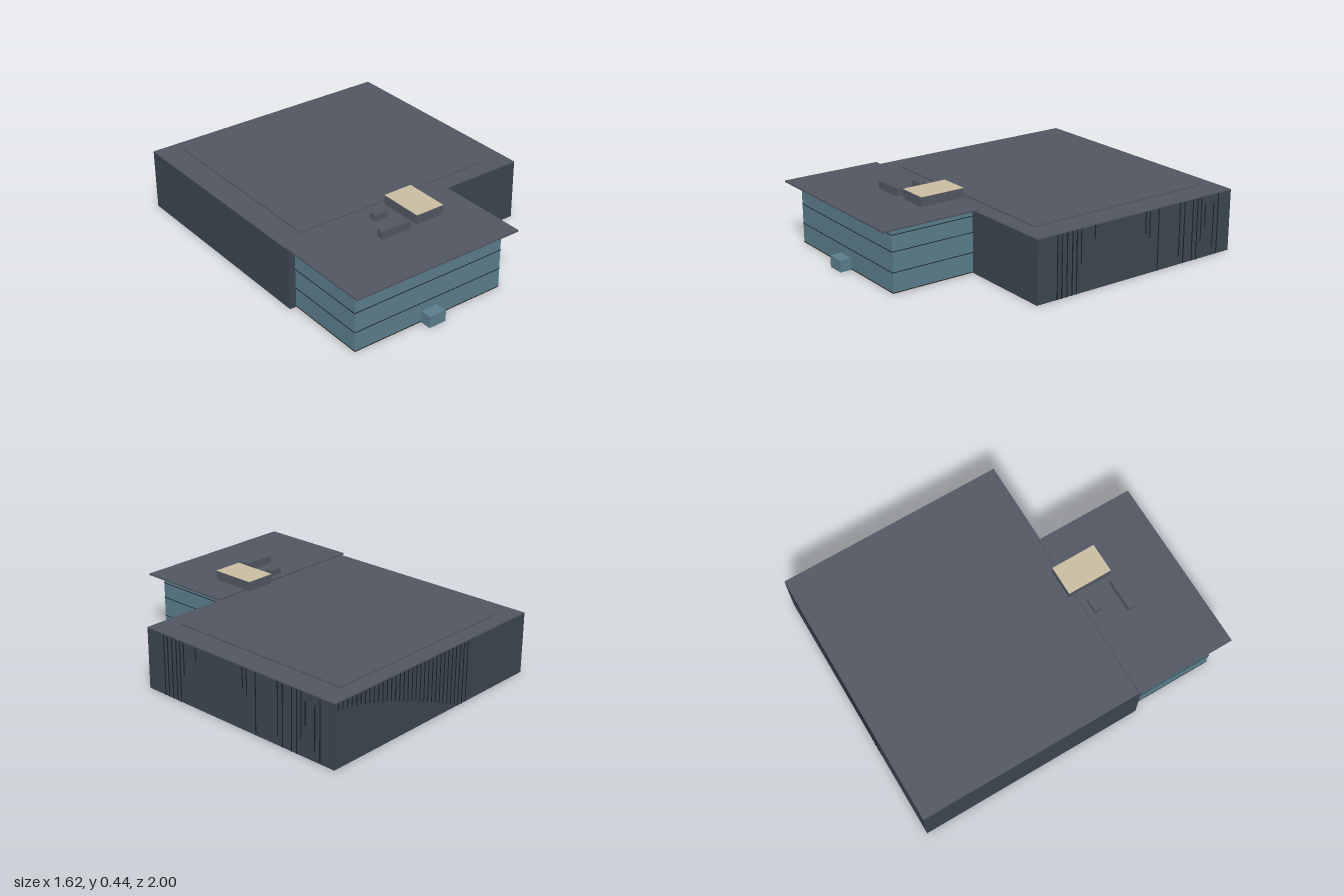
import * as THREE from 'three';

export function createModel() {
  const building = new THREE.Group();
  building.name = 'building';

  const paint = (color) => new THREE.MeshStandardMaterial({ color });
  const wall = paint(0x3b464f), roof = paint(0x515661), glass = paint(0x5a7d8c);
  const dark = paint(0x1c2226), beige = paint(0xc8bca0);

  // Box given by its extents along each axis
  function block(name, [x0, x1], [y0, y1], [z0, z1], material, parent = building) {
    const mesh = new THREE.Mesh(new THREE.BoxGeometry(x1 - x0, y1 - y0, z1 - z0), material);
    mesh.position.set((x0 + x1) / 2, (y0 + y1) / 2, (z0 + z1) / 2);
    mesh.name = name;
    parent.add(mesh);
    return mesh;
  }

  // Large hall with a slightly raised roof panel
  block('hallWalls', [-0.805, 0.805], [0, 0.366], [-0.998, 0.4], wall);
  block('hallRoof', [-0.805, 0.805], [0.366, 0.372], [-0.998, 0.4], roof);
  block('hallRoofPanel', [-0.655, 0.655], [0.372, 0.38], [-0.9, 0.3], roof);

  // Glazed office with floor slab and overhanging roof
  block('officeFloor', [-0.765, 0.225], [0, 0.006], [0.4, 0.92], beige);
  block('officeGlazing', [-0.765, 0.225], [0.006, 0.376], [0.4, 0.92], glass);
  block('officeRoof', [-0.812, 0.272], [0.376, 0.386], [0.385, 1], roof);

  // Storey joints running round the glazing
  const joints = new THREE.Group();
  joints.name = 'storeyJoints';
  building.add(joints);
  for (const y of [0.006, 0.122, 0.24, 0.335])
    block('storeyJoint', [-0.767, 0.227], [y - 0.002, y + 0.002], [0.4, 0.922], dark, joints);

  // Entrance porch
  block('entrancePorch', [-0.326, -0.216], [0, 0.07], [0.92, 0.99], glass);

  // Rooftop plant
  block('largeRoofUnit', [-0.122, 0.062], [0.386, 0.442], [0.348, 0.626], roof);
  block('largeRoofUnitLid', [-0.122, 0.062], [0.442, 0.445], [0.348, 0.626], beige);
  block('longRoofUnit', [-0.366, -0.17], [0.386, 0.434], [0.592, 0.637], roof);
  block('smallRoofUnit', [-0.281, -0.196], [0.386, 0.425], [0.423, 0.467], roof);

  // Cladding seams on the left wall: z, bottom, top
  const seams = new THREE.Group();
  seams.name = 'claddingSeams';
  building.add(seams);
  const sideSeams = [
    [0.265, 0], [0.235, 0], [0.2, 0], [0.165, 0], [0.135, 0], [0.105, 0.17],
    [0.01, 0.29], [-0.35, 0.24], [-0.38, 0.21], [-0.445, 0], [-0.605, 0.05],
    [-0.64, 0], [-0.705, 0], [-0.74, 0], [-0.77, 0.1], [-0.8, 0.18, 0.32],
    [-0.865, 0.05, 0.32], [-0.9, 0.01],
  ];
  for (const [z, bottom, top = 0.366] of sideSeams)
    block('sideSeam', [0.805, 0.807], [bottom, top], [z - 0.003, z + 0.003], dark, seams);

  // Back wall seams hang from the eaves and lengthen along the wall
  for (let i = 0; i < 32; i++) {
    const x = 0.78 - i * 0.034;
    const length = 0.04 + 0.326 * Math.min(1, (i / 29) ** 1.4);
    block('backSeam', [x - 0.003, x + 0.003], [0.366 - length, 0.366], [-1, -0.998], dark, seams);
  }

  return building;
}
